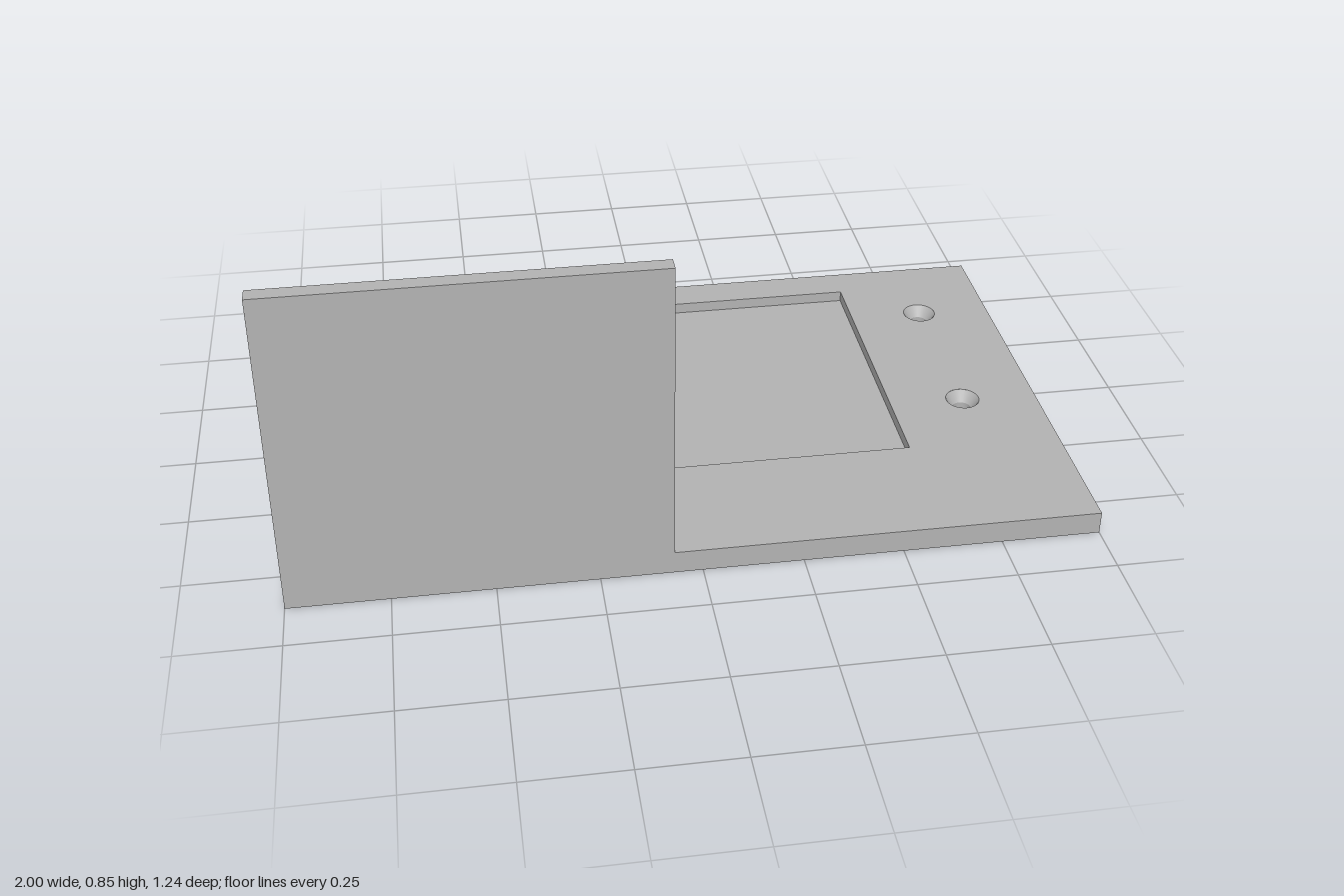
import * as THREE from 'three';

const W = 2, D = 1.24, T = 0.06;                                  // base plate size
const RECESS = { x0: -0.6, x1: 0.6, z0: -0.52, z1: 0.28, floor: 0.03 };
const BLOCK = { x0: -1, x1: -0.07, z0: 0.37, z1: D / 2 };
const HOLE = { top: 0.045, bottom: 0.025, neck: 0.03 };
const SEG = 32;

export function createModel() {
  const group = new THREE.Group();
  const grey = new THREE.MeshStandardMaterial({ color: 0xb4b4b4 });
  grey.name = 'plain grey';

  const add = (name, geometry, x = 0, y = 0, z = 0) => {
    const mesh = new THREE.Mesh(geometry, grey);
    mesh.name = name;
    mesh.position.set(x, y, z);
    group.add(mesh);
  };

  const holes = [];
  for (const x of [-0.8, 0.8]) for (const z of [-0.37, 0.08]) holes.push([x, z]);

  // Flat outline with round holes, drawn in x and s * z
  const outline = (points, s, radius) => {
    const shape = new THREE.Shape(points.map(([x, z]) => new THREE.Vector2(x, s * z)));
    for (const [x, z] of holes) {
      shape.holes.push(new THREE.Path().absarc(x, s * z, radius, 0, Math.PI * 2, true));
    }
    return shape;
  };

  // Keep only some faces of a box (0 +x, 1 -x, 2 +y, 3 -y, 4 +z, 5 -z), optionally inside out
  const boxFaces = (w, h, d, faces, inward) => {
    const g = new THREE.BoxGeometry(w, h, d);
    const all = Array.from(g.index.array);
    const index = faces.flatMap((f) => all.slice(f * 6, f * 6 + 6));
    g.setIndex(inward ? index.reverse() : index);
    g.clearGroups();
    if (inward) g.attributes.normal.array.forEach((v, i, a) => { a[i] = -v; });
    return g;
  };

  // Plate top, notched where the block stands and open over the recess
  const h = W / 2, k = D / 2;
  const top = outline([[-h, -k], [h, -k], [h, k], [BLOCK.x1, k], [BLOCK.x1, BLOCK.z0], [-h, BLOCK.z0]], -1, HOLE.top);
  const { x0, x1, z0, z1, floor } = RECESS;
  top.holes.push(new THREE.Path([[x0, z0], [x0, z1], [x1, z1], [x1, z0]].map(([x, z]) => new THREE.Vector2(x, -z))));
  add('plateTop', new THREE.ShapeGeometry(top, SEG).rotateX(-Math.PI / 2), 0, T, 0);

  // Plate underside and outer edges
  const under = outline([[-h, -k], [h, -k], [h, k], [-h, k]], 1, HOLE.bottom);
  add('plateUnderside', new THREE.ShapeGeometry(under, SEG).rotateX(Math.PI / 2));
  add('plateEdges', boxFaces(W, T, D, [0, 1, 4, 5], false), 0, T / 2, 0);

  // Shallow rectangular recess: floor and walls
  add('recess', boxFaces(x1 - x0, T - floor, z1 - z0, [0, 1, 3, 4, 5], true),
    (x0 + x1) / 2, (T + floor) / 2, (z0 + z1) / 2);

  // Countersunk screw holes: cone above a straight bore
  const cone = [[HOLE.top, T], [HOLE.bottom, HOLE.neck]];
  const bore = [[HOLE.bottom, HOLE.neck], [HOLE.bottom, 0]];
  for (const [x, z] of holes) {
    for (const [name, profile] of [['countersink', cone], ['screwBore', bore]]) {
      add(name, new THREE.LatheGeometry(profile.map(([r, y]) => new THREE.Vector2(r, y)), SEG), x, 0, z);
    }
  }

  // Upright block with a sloping back, profile swept along x
  const profile = [[BLOCK.z1, T], [BLOCK.z1, 0.85], [0.58, 0.85], [BLOCK.z0, 0.64], [BLOCK.z0, T]];
  const side = new THREE.Shape(profile.map(([z, y]) => new THREE.Vector2(-z, y)));
  const block = new THREE.ExtrudeGeometry(side, { depth: BLOCK.x1 - BLOCK.x0, bevelEnabled: false });
  add('uprightBlock', block.rotateY(Math.PI / 2), BLOCK.x0, 0, 0);

  return group;
}
